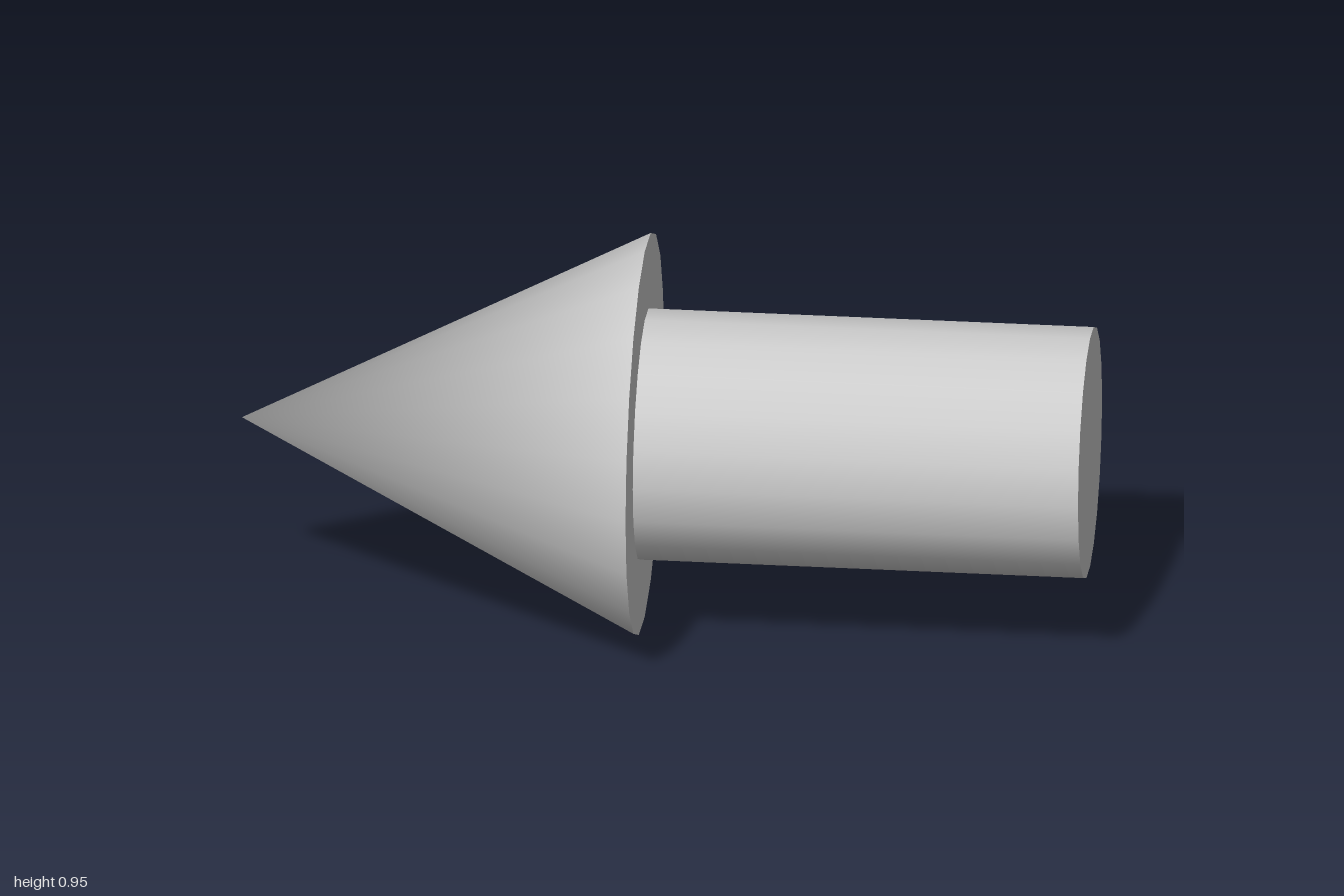
import * as THREE from 'three';
import { mergeVertices } from 'three/addons/utils/BufferGeometryUtils.js';

const SIDES = 20;
const HEAD_RADIUS = 0.477;
const SHAFT_RADIUS = 0.298;
const AXIS_Y = 0.48;
const BASE_X = -0.05; // where head and shaft meet

export function createModel() {
  const group = new THREE.Group();
  group.name = 'arrow';
  const material = new THREE.MeshStandardMaterial({ color: 0xcccccc });

  const add = (name, geometry, x) => {
    const mesh = new THREE.Mesh(geometry, material);
    mesh.name = name;
    mesh.position.set(x, AXIS_Y, 0);
    group.add(mesh);
  };

  // Head: cone pointing to -x, with one shared smooth normal at the tip
  const headLength = BASE_X + 1;
  let cone = new THREE.ConeGeometry(HEAD_RADIUS, headLength, SIDES, 1, true);
  cone.deleteAttribute('uv');
  cone.deleteAttribute('normal');
  cone = mergeVertices(cone);
  cone.rotateZ(Math.PI / 2);
  cone.computeVertexNormals();
  add('arrowHead', cone, (BASE_X - 1) / 2);

  // Flat back of the head, facing +x
  const back = new THREE.CircleGeometry(HEAD_RADIUS, SIDES).rotateY(Math.PI / 2);
  add('arrowHeadBack', back, BASE_X);

  // Shaft: smooth cylinder running to +x
  const shaft = new THREE.CylinderGeometry(SHAFT_RADIUS, SHAFT_RADIUS, 1 - BASE_X, SIDES);
  shaft.rotateZ(Math.PI / 2);
  add('shaft', shaft, (1 + BASE_X) / 2);

  return group;
}
